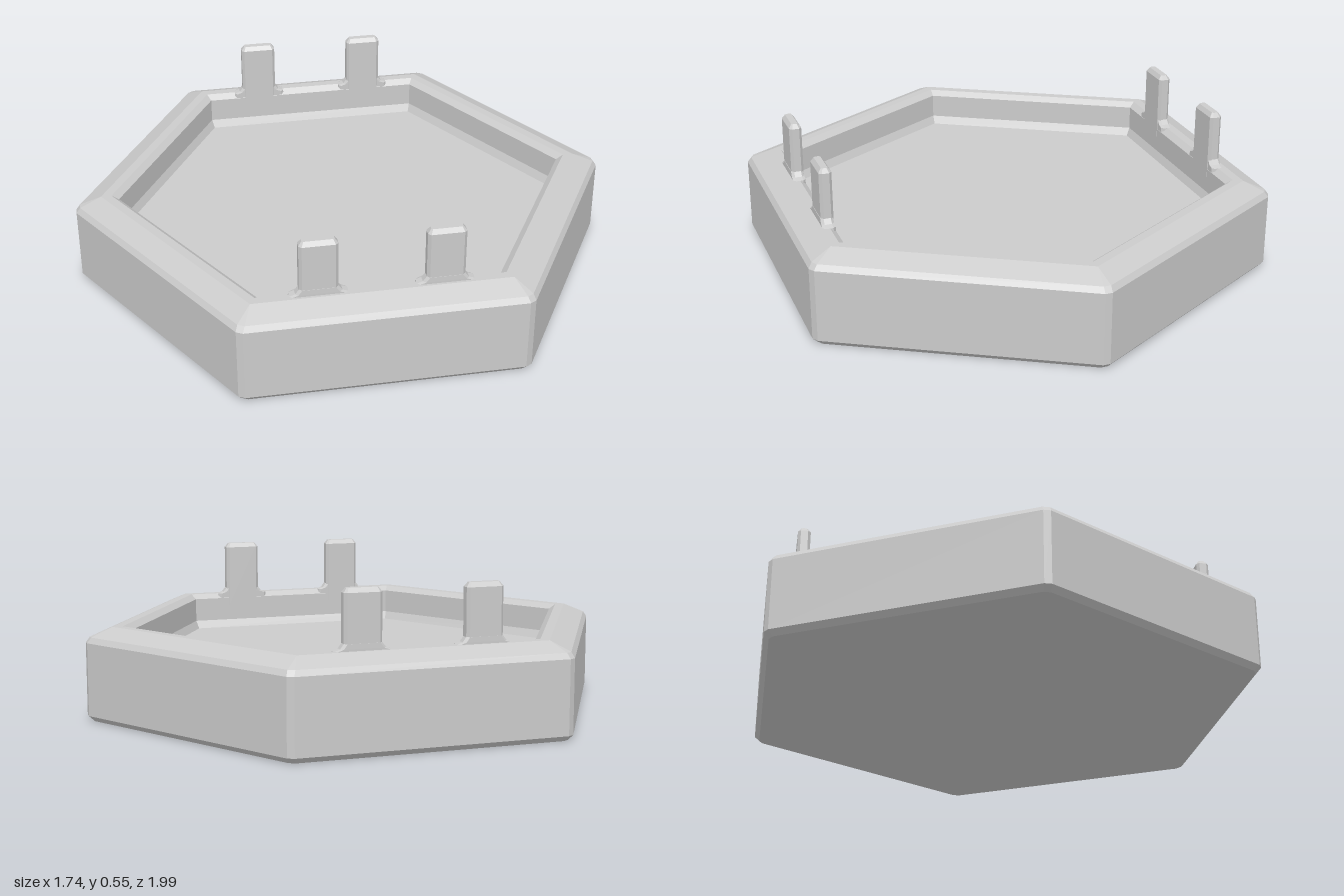
import * as THREE from 'three';

const material = new THREE.MeshStandardMaterial({ color: 0xcccccc, flatShading: true });

// Faceted solid through a sequence of rings (each counterclockwise from above), capped at both ends
function loft(name, rings) {
  const pos = [];
  const tri = (a, b, c) => {
    const area = b.clone().sub(a).cross(c.clone().sub(a)).length();
    if (area > 1e-8) for (const p of [a, b, c]) pos.push(p.x, p.y, p.z);
  };
  const n = rings[0].length;
  for (let i = 0; i + 1 < rings.length; i++) {
    for (let k = 0; k < n; k++) {
      const m = (k + 1) % n, lo = rings[i], hi = rings[i + 1];
      tri(lo[k], lo[m], hi[m]);
      tri(lo[k], hi[m], hi[k]);
    }
  }
  const first = rings[0], last = rings[rings.length - 1];
  for (let k = 1; k + 1 < n; k++) {
    tri(first[0], first[k + 1], first[k]);
    tri(last[0], last[k], last[k + 1]);
  }
  const geometry = new THREE.BufferGeometry();
  geometry.setAttribute('position', new THREE.Float32BufferAttribute(pos, 3));
  geometry.computeVertexNormals();
  const mesh = new THREE.Mesh(geometry, material);
  mesh.name = name;
  return mesh;
}

// Hexagon ring with apothem a at height y, its corners cut back by s along each edge
function hexRing([a, y, s]) {
  const ring = [];
  const half = a * Math.tan(Math.PI / 6) - s;
  for (let k = 0; k < 6; k++) {
    const f = k * Math.PI / 3, c = Math.cos(f), n = Math.sin(f);
    for (const l of [-half, half]) ring.push(new THREE.Vector3(c * a - n * l, y, -n * a - c * l));
  }
  return ring;
}

// Rectangle ring with cut corners: half width h, half depth q, cut c
function rectRing([y, h, q, c]) {
  return [
    [h, c - q], [h - c, -q], [c - h, -q], [-h, c - q],
    [-h, q - c], [c - h, q], [h - c, q], [h, q - c],
  ].map(([x, z]) => new THREE.Vector3(x, y, z));
}

export function createModel() {
  const model = new THREE.Group();
  model.name = 'hexTray';

  // Tray: underside, outer wall, sloped rim, inner wall and floor
  model.add(loft('tray', [
    [0.85, 0, 0.015],
    [0.868, 0.02, 0.015],
    [0.868, 0.285, 0.015],
    [0.855, 0.305, 0.015],
    [0.78, 0.338, 0],
    [0.747, 0.338, 0],
    [0.724, 0.32, 0],
    [0.724, 0.23, 0],
    [0.71, 0.2, 0],
  ].map(hexRing)));

  // Two pegs with flared feet on each of two opposite edges
  for (const [side, angle] of [['front', Math.PI / 6], ['back', Math.PI * 7 / 6]]) {
    const pair = new THREE.Group();
    pair.name = side + 'Pegs';
    pair.rotation.y = angle;
    for (const x of [-0.217, 0.217]) {
      const peg = loft('peg', [
        [0.29, 0.067, 0.023, 0.01],
        [0.53, 0.067, 0.023, 0.01],
        [0.546, 0.055, 0.012, 0.005],
      ].map(rectRing));
      const foot = loft('pegFoot', [
        [0.315, 0.103, 0.023, 0.01],
        [0.338, 0.1, 0.023, 0.01],
        [0.345, 0.08, 0.023, 0.01],
        [0.362, 0.067, 0.0225, 0.01],
      ].map(rectRing));
      peg.position.set(x, 0, 0.746);
      foot.position.set(x, 0, 0.748);
      pair.add(peg, foot);
    }
    model.add(pair);
  }
  return model;
}
